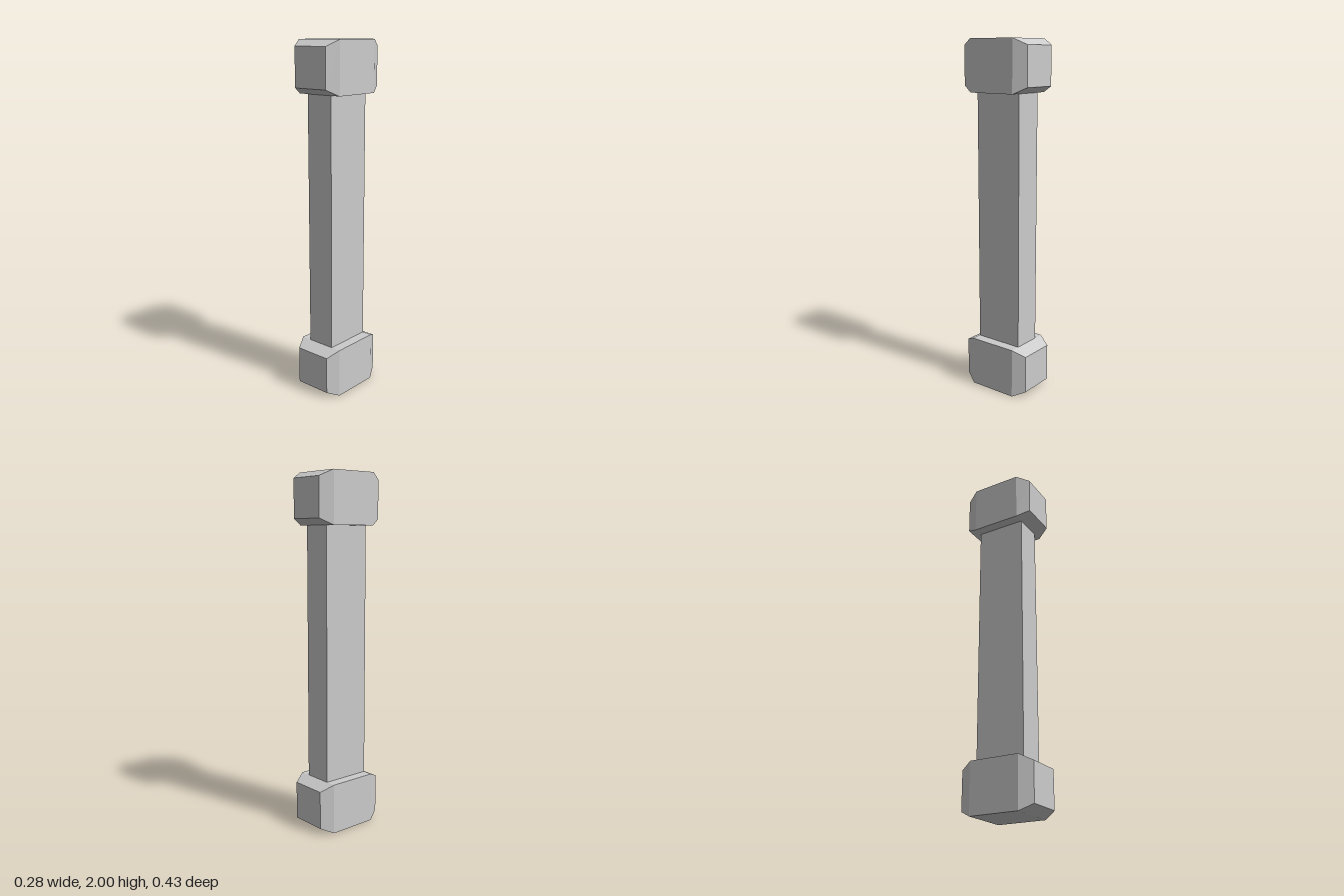
import * as THREE from 'three';

const SIZE = 0.285;      // width and height of an end block
const BODY = 0.1425;     // half depth of the block's straight part, and of the shaft
const TIP = 0.2135;      // half depth of the block including its bevelled faces
const TAPER = 0.755;     // scale of the small front and back faces

// Square block whose front and back are bevelled on all four edges
function bevelledBlock() {
  const geometry = new THREE.BoxGeometry(SIZE, SIZE, TIP * 2, 1, 1, 3).toNonIndexed();
  const p = geometry.attributes.position;
  for (let i = 0; i < p.count; i++) {
    const z = p.getZ(i);
    if (Math.abs(z) > TIP * 0.9) {
      p.setXY(i, p.getX(i) * TAPER, p.getY(i) * TAPER);
    } else {
      p.setZ(i, Math.sign(z) * BODY);
    }
  }
  geometry.computeVertexNormals();
  return geometry;
}

export function createModel() {
  const model = new THREE.Group();
  model.name = 'pillar';
  const material = new THREE.MeshStandardMaterial({ color: 0xcccccc, flatShading: true });

  const add = (name, geometry, y) => {
    const mesh = new THREE.Mesh(geometry, material);
    mesh.name = name;
    mesh.position.y = y;
    model.add(mesh);
  };

  // Matching end blocks
  const block = bevelledBlock();
  add('base', block, SIZE / 2);
  add('capital', block, 2 - SIZE / 2);

  // Plain rectangular shaft between them
  add('shaft', new THREE.BoxGeometry(0.166, 2 - SIZE * 2, BODY * 2), 1);

  return model;
}
